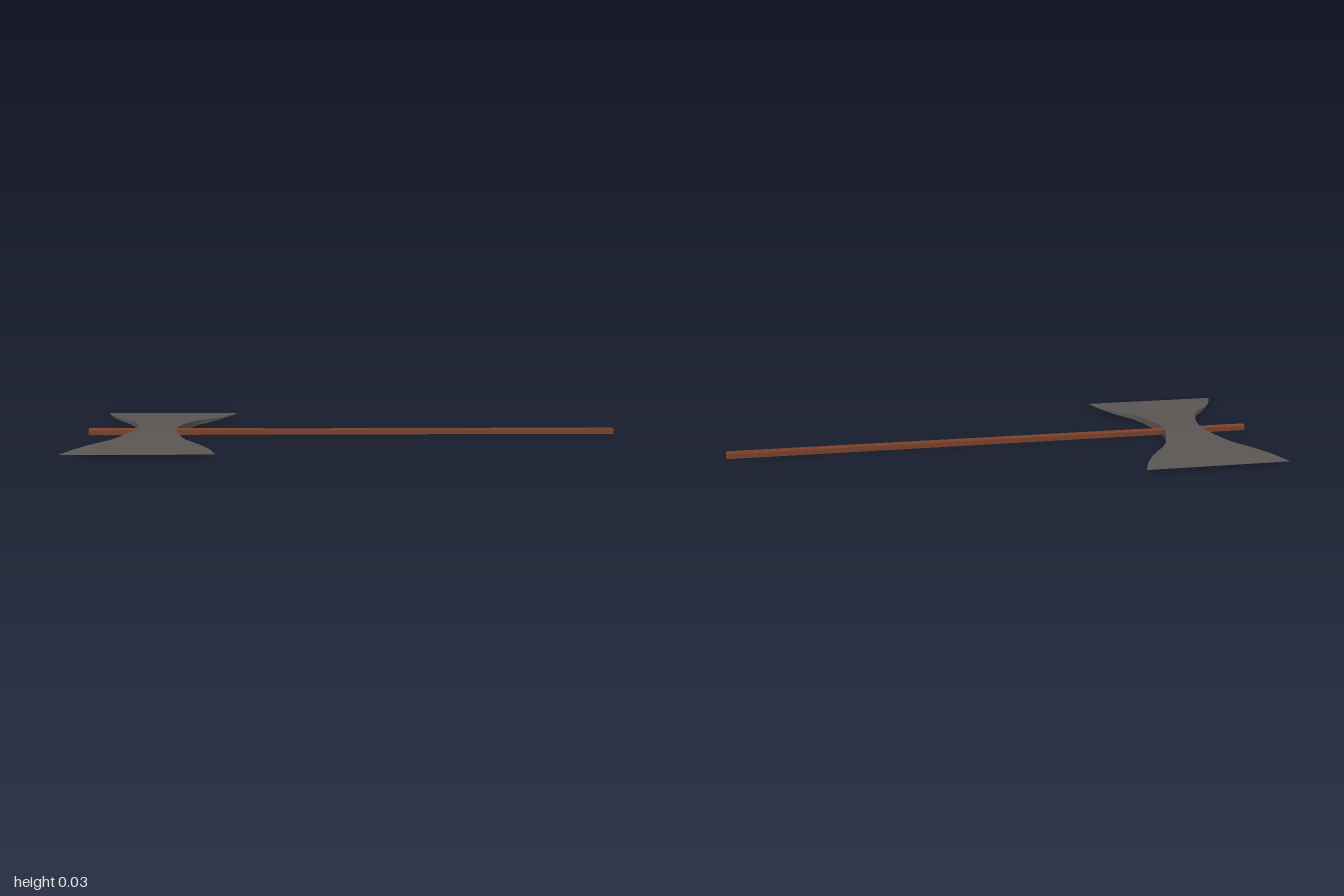
import * as THREE from 'three';

const MID_Y = 0.016;
const HEAD_X = -0.733;

// Skins matching rings of points (counter-clockwise seen from the far end), with flat end caps.
function loft(rings) {
  const pos = [];
  const tri = (...pts) => pts.forEach((p) => pos.push(...p));
  const n = rings[0].length;
  for (let s = 0; s < rings.length - 1; s++) {
    for (let i = 0; i < n; i++) {
      const j = (i + 1) % n;
      const [a, b] = [rings[s], rings[s + 1]];
      tri(a[i], a[j], b[j]);
      tri(a[i], b[j], b[i]);
    }
  }
  const first = rings[0], last = rings[rings.length - 1];
  for (let i = 1; i < n - 1; i++) {
    tri(first[0], first[i + 1], first[i]);
    tri(last[0], last[i], last[i + 1]);
  }
  const geometry = new THREE.BufferGeometry();
  geometry.setAttribute('position', new THREE.Float32BufferAttribute(pos, 3));
  geometry.computeVertexNormals();
  return geometry;
}

// Double blade: each row is [distance from the handle, half width, half thickness]
function bladeGeometry() {
  const half = [
    [0, 0.075, 0.015], [0.05, 0.081, 0.0146], [0.1, 0.094, 0.0132],
    [0.16, 0.116, 0.0112], [0.2, 0.138, 0.0092], [0.235, 0.17, 0.0071],
    [0.28, 0.206, 0.0045], [0.33, 0.237, 0.0021], [0.37, 0.254, 0.0009],
    [0.407, 0.267, 0.0003],
  ];
  const rows = [
    ...half.slice(1).reverse().map(([z, w, t]) => [-z, w, t]),
    ...half,
  ];
  return loft(rows.map(([z, w, t]) => [
    [w, -t, z], [w, t, z], [-w, t, z], [-w, -t, z],
  ]));
}

// Handle: widens toward the grip, with a low ridge that rises toward the head
function handleGeometry() {
  const ends = [[-0.99, 0.009, 0.013, 0.0145], [1, 0.009, 0.0185, 0.009]];
  return loft(ends.map(([x, h, b, ridge]) => [
    [x, ridge, 0], [x, h, b], [x, -h, b], [x, -ridge, 0], [x, -h, -b], [x, h, -b],
  ]));
}

export function createModel() {
  const steel = new THREE.MeshStandardMaterial({ color: 0x5a5654 });
  steel.name = 'dark steel';
  const wood = new THREE.MeshStandardMaterial({ color: 0x783f29 });
  wood.name = 'brown wood';

  const blade = new THREE.Mesh(bladeGeometry(), steel);
  blade.name = 'doubleBlade';
  blade.position.set(HEAD_X, MID_Y, 0);

  const handle = new THREE.Mesh(handleGeometry(), wood);
  handle.name = 'handle';
  handle.position.y = MID_Y;

  const axe = new THREE.Group();
  axe.name = 'doubleAxe';
  axe.add(blade, handle);
  return axe;
}
